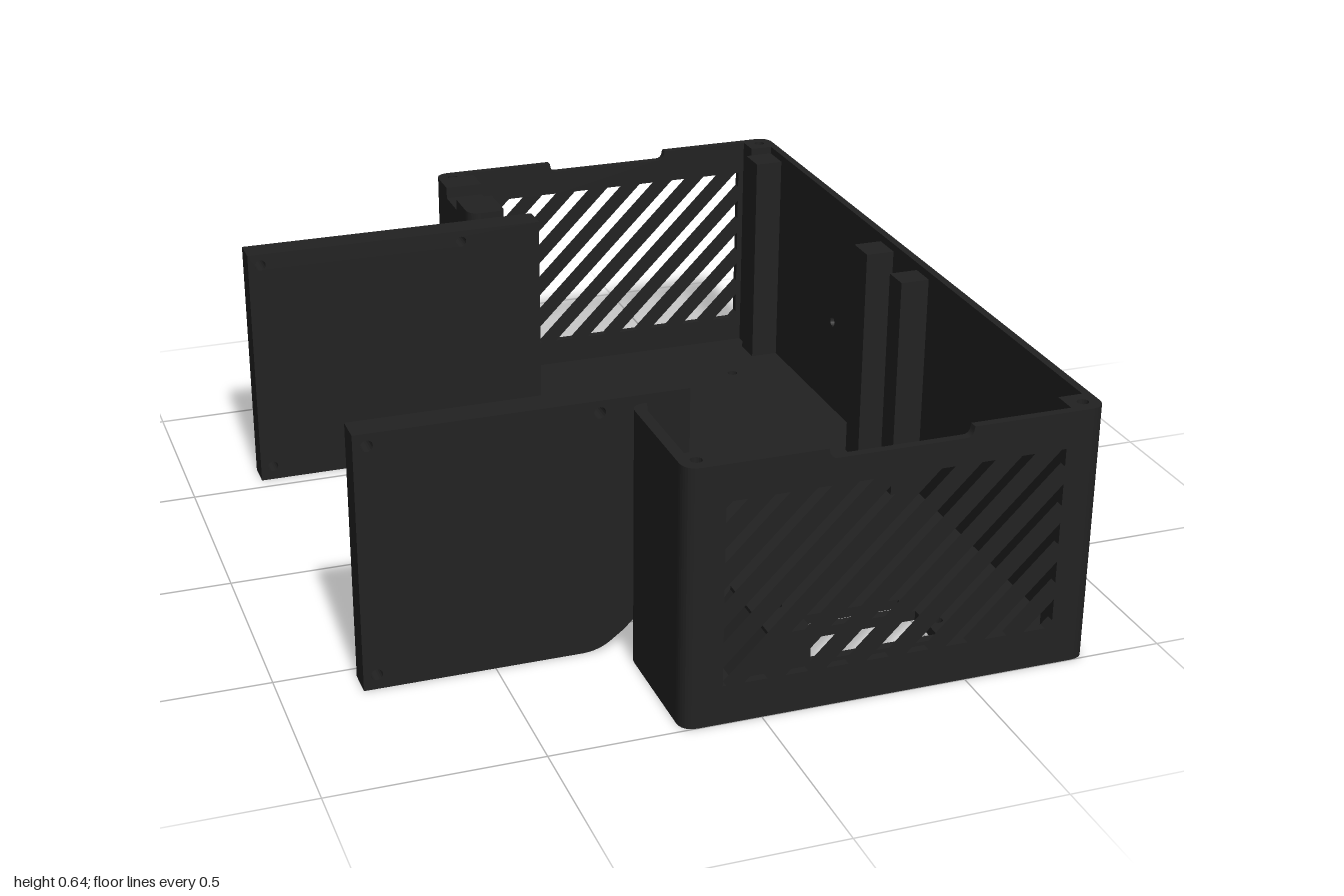
import * as THREE from 'three';

const H = 0.64, FLOOR = 0.025;
const black = new THREE.MeshStandardMaterial({ color: 0x222222 });
black.name = 'matte black';

const poly = (pts, C = THREE.Shape) => new C(pts.map(([a, b]) => new THREE.Vector2(a, b)));
const rect = (x0, y0, x1, y1) => poly([[x0, y0], [x1, y0], [x1, y1], [x0, y1]], THREE.Path);
const round = (x, y, r = 0.014) => new THREE.Path().absarc(x, y, r, 0, Math.PI * 2, true);

// Outline with a corner radius per point: [a, b, radius]
function rounded(pts) {
  const s = new THREE.Shape(), n = pts.length;
  pts.forEach(([x, y, r = 0], i) => {
    const toward = (q) => {
      const d = Math.hypot(q[0] - x, q[1] - y);
      return [x + (q[0] - x) * r / d, y + (q[1] - y) * r / d];
    };
    const a = toward(pts[(i + n - 1) % n]), b = toward(pts[(i + 1) % n]);
    if (i) s.lineTo(...a); else s.moveTo(...a);
    if (r) s.quadraticCurveTo(x, y, ...b);
  });
  s.closePath();
  return s;
}

const extrude = (shape, depth, holes = []) => {
  shape.holes.push(...holes);
  return new THREE.ExtrudeGeometry(shape, { depth, bevelEnabled: false, curveSegments: 8 });
};
// Plan shapes use (x, -z) and rise in y; side shapes use (-z, y) and extend in +x
const plan = (shape, y, h, holes) => extrude(shape, h, holes).rotateX(-Math.PI / 2).translate(0, y, 0);
const side = (shape, x, w, holes) => extrude(shape, w, holes).rotateY(Math.PI / 2).translate(x, 0, 0);

// Keep the part of a polygon where sign * (x - y - c) >= 0
function clip(pts, c, sign) {
  const out = [];
  pts.forEach((p, i) => {
    const q = pts[(i + 1) % pts.length];
    const dp = sign * (p[0] - p[1] - c), dq = sign * (q[0] - q[1] - c);
    if (dp >= 0) out.push(p);
    if (dp * dq < 0) {
      const t = dp / (dp - dq);
      out.push([p[0] + (q[0] - p[0]) * t, p[1] + (q[1] - p[1]) * t]);
    }
  });
  return out;
}

// Diagonal ventilation slots
function ventHoles() {
  const area = [[-0.095, 0.097], [0.715, 0.097], [0.715, 0.55], [-0.095, 0.55]], holes = [];
  for (let c = -0.63; c < 0.62; c += 0.098) {
    const p = clip(clip(area, c, 1), c + 0.054, -1);
    if (p.length > 2) holes.push(poly(p, THREE.Path));
  }
  return holes;
}

export function createModel() {
  const model = new THREE.Group();
  model.name = 'ventilatedEnclosure';
  const add = (name, geometry) => {
    const m = new THREE.Mesh(geometry, black);
    m.name = name;
    model.add(m);
    return m;
  };
  const box = (name, x0, x1, y0, y1, z0, z1) => add(name,
    new THREE.BoxGeometry(x1 - x0, y1 - y0, z1 - z0).translate((x0 + x1) / 2, (y0 + y1) / 2, (z0 + z1) / 2));

  // Floor with recessed left edge, screw holes and cable windows
  const floorOutline = rounded([
    [-0.19, -1, 0.04], [0.81, -1, 0.04], [0.81, 1, 0.04], [-0.19, 1, 0.04],
    [-0.19, 0.655, 0.04], [-0.05, 0.655, 0.04], [-0.05, -0.65, 0.04], [-0.19, -0.65, 0.04],
  ]);
  const screwPoints = [[-0.15, 0.96], [-0.15, -0.96], [0.77, 0.96], [0.77, -0.96],
    [0.02, 0.585], [0.615, 0.745], [0.335, 0], [0.125, -0.77], [0.54, -0.77]];
  add('floor', plan(floorOutline, 0, FLOOR, [
    ...screwPoints.map(([x, y]) => round(x, y)),
    rect(0.16, -0.69, 0.495, -0.648), rect(0.16, -0.83, 0.51, -0.713), rect(0.16, -0.895, 0.495, -0.852),
  ]));

  // Vented end walls with a shallow notch in the top edge
  for (const [name, z] of [['frontWall', 0.98], ['backWall', -1]]) {
    const outline = rounded([[-0.15, 0], [0.77, 0], [0.77, H], [0.485, H], [0.48, 0.615, 0.015],
      [0.145, 0.615, 0.015], [0.14, H], [-0.15, H]]);
    add(name, extrude(outline, 0.02, ventHoles()).translate(0, 0, z));
  }

  // Rounded corner posts with screw holes
  for (const sx of [-1, 1]) for (const sz of [-1, 1]) {
    const cx = sx < 0 ? -0.15 : 0.77, cy = -sz * 0.96, r = 0.04;
    const corners = [[-1, -1], [1, -1], [1, 1], [-1, 1]].map(([a, b]) =>
      [cx + a * r, cy + b * r, a === sx && b === -sz ? r : 0]);
    add('cornerPost', plan(rounded(corners), 0, H, [round(cx, cy)]));
  }

  // Long right-hand wall with two screw holes
  add('longWall', side(poly([[-0.96, 0], [0.96, 0], [0.96, H], [-0.96, H]]), 0.79, 0.02,
    [round(-0.45, 0.28), round(0.445, 0.28)]));
  for (const [z0, z1] of [[-0.92, -0.84], [-0.16, -0.08], [0.06, 0.13]])
    box('wallRib', 0.715, 0.79, FLOOR, H - 0.02, z0, z1);

  // Short left wall sections beside the opening
  const rearSide = poly([[0.69, 0], [0.96, 0], [0.96, H], [0.88, H], [0.88, 0.61], [0.78, 0.61], [0.78, H], [0.69, H]]);
  add('rearSideWall', side(rearSide, -0.19, 0.1, [rect(0.79, 0.27, 0.83, 0.4), round(0.81, 0.2, 0.012), round(0.81, 0.47, 0.012)]));
  add('rearSideEnd', plan(rounded([[-0.19, 0.655, 0.035], [-0.09, 0.655, 0.015], [-0.09, 0.69], [-0.19, 0.69]]), 0, H));
  add('frontSideWall', side(poly([[-0.96, 0], [-0.69, 0], [-0.69, H], [-0.96, H]]), -0.19, 0.027));
  add('frontSideEnd', plan(rounded([[-0.19, -0.69], [-0.163, -0.69], [-0.15, -0.65], [-0.19, -0.65, 0.035]]), 0, H));

  // Two upright panels projecting to the left
  for (const z of [-0.61, 0.535]) {
    const outline = rounded([[-0.812, 0], [-0.25, 0, 0.04], [-0.19, 0.045], [-0.1, 0.13], [-0.03, 0.13], [-0.03, H], [-0.812, H]]);
    add('sidePanel', extrude(outline, 0.07,
      [round(-0.78, 0.61), round(-0.245, 0.61), round(-0.78, 0.037)]).translate(0, 0, z));
    box('panelFoot', -0.05, -0.03, 0, 0.13, z, z + 0.07);
  }

  // Floor details: edge lip, rounded tab and cable clamp block
  box('edgeLip', -0.05, -0.03, FLOOR, 0.04, -0.61, 0.605);
  add('mountingTab', plan(rounded([[-0.05, -0.1], [0.145, -0.1, 0.038], [0.145, -0.02, 0.038], [-0.05, -0.02]]),
    FLOOR, 0.045, [round(0.11, -0.06, 0.015)]));
  add('clampBlock', plan(poly([[0.06, -0.895], [0.16, -0.895], [0.16, -0.648], [0.06, -0.648]]),
    FLOOR, 0.115, [round(0.125, -0.77)]));
  add('clampRamp', extrude(poly([[-0.02, FLOOR], [0.06, FLOOR], [0.06, 0.13]]), 0.247).translate(0, 0, 0.648));

  return model;
}
